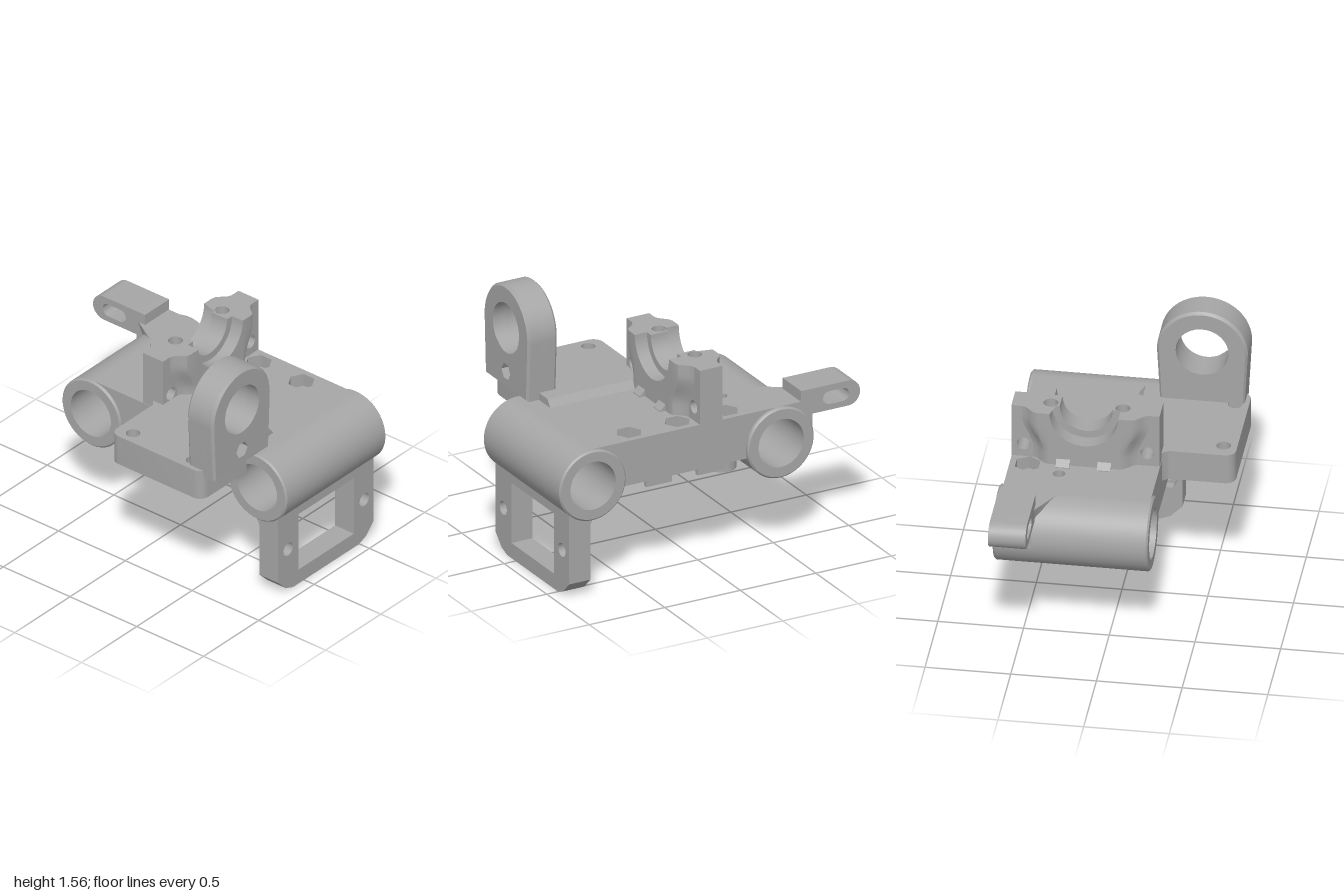
import * as THREE from 'three';
import { toCreasedNormals } from 'three/addons/utils/BufferGeometryUtils.js';

const grey = new THREE.MeshStandardMaterial({ color: 0xa6a6a6 });
grey.name = 'printed grey';

// A hole is [u, v, radius] or [u, v, radius, sides]
function addHoles(shape, holes) {
  for (const [u, v, r, sides = 32] of holes) {
    const pts = [];
    for (let i = 0; i < sides; i++) {
      const a = (i / sides) * Math.PI * 2;
      pts.push(new THREE.Vector2(u + r * Math.cos(a), v + r * Math.sin(a)));
    }
    shape.holes.push(new THREE.Path(pts));
  }
  return shape;
}
const poly = (pts, holes = []) => addHoles(new THREE.Shape(pts.map(p => new THREE.Vector2(p[0], p[1]))), holes);
const rect = (u0, v0, u1, v1) => [[u0, v0], [u1, v0], [u1, v1], [u0, v1]];
// Points along an arc, angles in degrees
function arc(u, v, r, a0, a1, n = 16) {
  return Array.from({ length: n + 1 }, (_, i) => {
    const a = THREE.MathUtils.degToRad(a0 + (a1 - a0) * i / n);
    return [u + r * Math.cos(a), v + r * Math.sin(a)];
  });
}
const extrude = (shape, depth, steps = 1) => new THREE.ExtrudeGeometry(shape, { depth, steps, bevelEnabled: false, curveSegments: 24 });
// Extrusions along each axis: shape is (x,y), (x,-z) or (z,y)
const alongZ = (shape, z0, z1, steps) => extrude(shape, z1 - z0, steps).translate(0, 0, z0);
const alongY = (shape, y0, y1, steps) => extrude(shape, y1 - y0, steps).rotateX(-Math.PI / 2).translate(0, y0, 0);
const alongX = (shape, x0, x1) => extrude(shape, x1 - x0).rotateY(-Math.PI / 2).translate(x1, 0, 0);

function moveVertices(geo, rule) {
  const p = geo.attributes.position, v = new THREE.Vector3();
  for (let i = 0; i < p.count; i++) {
    rule(v.fromBufferAttribute(p, i));
    p.setXYZ(i, v.x, v.y, v.z);
  }
  return geo;
}

export function createModel() {
  const model = new THREE.Group();
  const add = (name, geo) => {
    const mesh = new THREE.Mesh(toCreasedNormals(geo, 0.5), grey);
    mesh.name = name;
    model.add(mesh);
  };
  const L = -0.235, R = 0.63, TY = 0.7, FZ = 0.78, BZ = -0.465;

  // Two bearing tubes across the body
  for (const [name, z] of [['frontTube', FZ], ['rearTube', BZ]]) {
    const profile = [[0.15, -0.25], [0.21, -0.25], [0.22, -0.24], [0.22, 0.645], [0.21, 0.655], [0.15, 0.655], [0.15, -0.25]];
    const geo = new THREE.LatheGeometry(profile.map(p => new THREE.Vector2(p[0], p[1])), 64);
    add(name, geo.rotateZ(-Math.PI / 2).translate(0, TY, z));
  }

  // Body slab: hex nut pockets above, screw holes below
  const screws = [0.17, -0.15, -0.47].map(v => [0.525, v]);
  const through = [[0.33, 0.25, 0.036], [-0.01, 0.03, 0.043], [0.41, 0.03, 0.043]];
  const outline = rect(L, -0.61, R, 0.3);
  const hexHoles = screws.map(([u, v]) => [u, v, 0.08, 6]);
  const turned = hexHoles.map(([u, v, r]) => arc(u, v, r, 30, 330, 5));
  const top = poly(outline, through);
  turned.forEach(pts => top.holes.push(new THREE.Path(pts.map(p => new THREE.Vector2(p[0], p[1])))));
  add('bodyTop', alongY(top, 0.84, 0.92));
  add('bodyLower', alongY(poly(outline, [...through, ...screws.map(([u, v]) => [u, v, 0.042])]), 0.64, 0.84));

  // Flat-topped webs blending the slab into the tubes
  add('frontWeb', alongX(poly([[0.6, 0.92], [FZ, 0.92], ...arc(FZ, TY, 0.18, 90, 180)]), L, R));
  add('rearWeb', alongX(poly([[-0.29, 0.92], [BZ, 0.92], ...arc(BZ, TY, 0.175, 90, 0)]), L, R));
  const corner = alongX(poly([[BZ, 0.92], [-0.685, 0.92], [-0.685, 0.67], ...arc(BZ, TY, 0.19, 188, 90)]), 0.3, R);
  add('rearCorner', moveVertices(corner, v => {
    if (v.x < 0.4) v.x += Math.max(0, Math.min(0.13, -0.5 - v.z));
  }));

  // Underside ramps with tie channels between them
  const ramp = poly([[-0.2, 0.645], [0.475, 0.645], [0.41, 0.565], [-0.1, 0.565]]);
  for (const [z0, z1] of [[-0.16, -0.11], [0.07, 0.24], [0.41, 0.59]]) add('undersideRamp', alongZ(ramp, z0, z1));
  for (const [z0, z1] of [[-0.11, 0.07], [0.24, 0.41]]) {
    add('tieChannel', alongZ(poly(rect(0.04, 0.6, 0.36, 0.645)), z0, z1));
    add('tieLip', alongZ(poly([[0.58, 0.645], [0.625, 0.645], [0.625, 0.6], [0.6, 0.6]]), z0, z1));
  }
  add('undersideBoss', alongY(poly(arc(0.33, 0.25, 0.088, 0, 350, 35), [[0.33, 0.25, 0.036]]), 0.475, 0.65));

  // Front mounting frame with nut pockets behind
  const frameShape = (r, sides) => {
    const s = poly([[L, 0.54], [L, 0.1], [-0.165, 0.03], [-0.1, 0.005], [0.495, 0.005], [0.56, 0.03], [R, 0.1], [R, 0.54]],
      [[-0.145, 0.285, r, sides], [0.545, 0.285, r, sides]]);
    s.holes.push(new THREE.Path(rect(-0.05, 0.1, 0.45, 0.48).map(p => new THREE.Vector2(p[0], p[1]))));
    return s;
  };
  add('frameFront', alongZ(frameShape(0.042, 32), 0.835, 0.925));
  add('frameBack', alongZ(frameShape(0.07, 6), 0.785, 0.835));
  for (const [x0, x1] of [[L, -0.05], [0.45, R]]) {
    add('frameFillet', alongX(poly([[0.79, 0.5], [0.79, 0.43], ...arc(0.72, 0.43, 0.065, 0, 90, 8), [0.72, 0.5]]), x0, x1));
  }

  // Saddle: wide seat at both ends, narrow ridge in the middle
  const seat = (half, r) => poly([[0.2 - half, 0.91], [0.2 + half, 0.91], [0.2 + half, 1.26], ...arc(0.2, 1.26, r, 0, -180, 32), [0.2 - half, 1.26]]);
  add('saddleFront', alongZ(seat(0.2005, 0.2), 0.055, 0.135));
  add('saddleRidge', alongZ(seat(0.16, 0.155), -0.06, 0.055));
  add('saddleRear', alongZ(seat(0.2005, 0.2), -0.155, -0.06));

  for (const s of [-1, 1]) {
    const X = d => 0.2 + s * d;
    // Pillar with a vertical screw hole; its shoulders pull in lower down
    const half = [[0.16, 0.06], [0.2, 0.06], [0.2, 0.155], [0.27, 0.155], [0.295, 0.148], [0.325, 0.12], [0.345, 0.1], [0.37, 0.09],
      [0.37, -0.06], [0.345, -0.07], [0.325, -0.09], [0.295, -0.128], [0.27, -0.135], [0.2, -0.135], [0.2, -0.055], [0.16, -0.055]];
    const pillar = alongY(poly(half.map(([d, v]) => [X(d), v]), [[X(0.21), 0.03, 0.043]]), 0.91, 1.26, 14);
    add('saddlePillar', moveVertices(pillar, v => {
      if (Math.abs(v.x - 0.2) > 0.265) v.x -= s * 0.065 * (1 - THREE.MathUtils.smoothstep(v.y, 0.99, 1.19));
    }));
    // Thin outer wing with a cross hole
    add('saddleWing', alongZ(poly([[X(0.29), 0.91], [X(0.432), 0.91], [X(0.432), 1.26], [X(0.29), 1.26]], [[X(0.36), 1.005, 0.04]]), -0.09, 0.06));
    // Sloped foot of the saddle
    const foot = [[0.17, 0.915], [0.17, 0.925], [0.135, 0.96], [-0.155, 0.96], [-0.19, 0.925], [-0.19, 0.915]];
    const f0 = Math.min(X(0.08), X(0.16)), f1 = Math.max(X(0.08), X(0.16));
    add('saddleFoot', alongX(poly(foot), f0, f1));
  }

  // Side plate, its thin run over the body, and the ring post
  const plate = [...arc(-0.595, -0.075, 0.06, 180, 90, 6), [-0.27, -0.015], [-0.235, 0.01], [-0.215, 0.05], [-0.2, 0.05],
    [-0.2, -0.6], [-0.25, -0.6], [-0.25, -0.7], ...arc(-0.595, -0.64, 0.06, 270, 180, 6)];
  add('sidePlate', alongY(poly(plate, [[-0.575, -0.12, 0.042], [-0.575, -0.57, 0.042]]), 0.775, 0.965));
  add('sidePlateRun', alongZ(poly([[-0.25, 0.9], [0, 0.9], [0, 0.92], [-0.035, 0.965], [-0.25, 0.965]]), 0.015, 0.695));

  // Ring post with chamfered outer edge
  const ringPts = [[-0.625, 0.92], [-0.135, 0.92], ...arc(-0.38, 1.297, 0.265, -3, 183, 48)];
  const chamfer = (geo, z) => moveVertices(geo, v => {
    const dx = v.x + 0.38, dy = v.y - 1.2, edge = Math.hypot(dx, v.y - 1.297) > 0.24 && (v.y > 1.2 || Math.abs(dx) > 0.2);
    if (edge && Math.abs(v.z - z) < 1e-4) {
      const k = 1 - 0.015 / Math.hypot(dx, dy);
      v.x = -0.38 + dx * k;
      v.y = 1.2 + dy * k;
    }
  });
  const bore = [-0.38, 1.297, 0.154, 48], nut = [-0.38, 1.022, 0.052, 6];
  add('ringPostBack', chamfer(alongZ(poly(ringPts, [bore]), 0.58, 0.595), 0.58));
  add('ringPostCore', alongZ(poly(ringPts, [bore]), 0.595, 0.69));
  add('ringPostFront', alongZ(poly(ringPts, [bore, nut]), 0.69, 0.76));
  add('ringPostFace', chamfer(alongZ(poly(ringPts, [bore, nut]), 0.76, 0.775), 0.775));

  // Rear arm with an adjustment slot
  const arm = poly([[-0.61, 0.83], [-0.61, 0.988], ...arc(-0.921, 0.909, 0.079, 90, 270, 20)]);
  const slot = [...arc(-0.885, 0.907, 0.041, 90, 270), ...arc(-0.795, 0.907, 0.041, -90, 90)];
  arm.holes.push(new THREE.Path(slot.map(p => new THREE.Vector2(p[0], p[1]))));
  add('rearArm', alongX(arm, 0.415, 0.633));

  return model;
}
